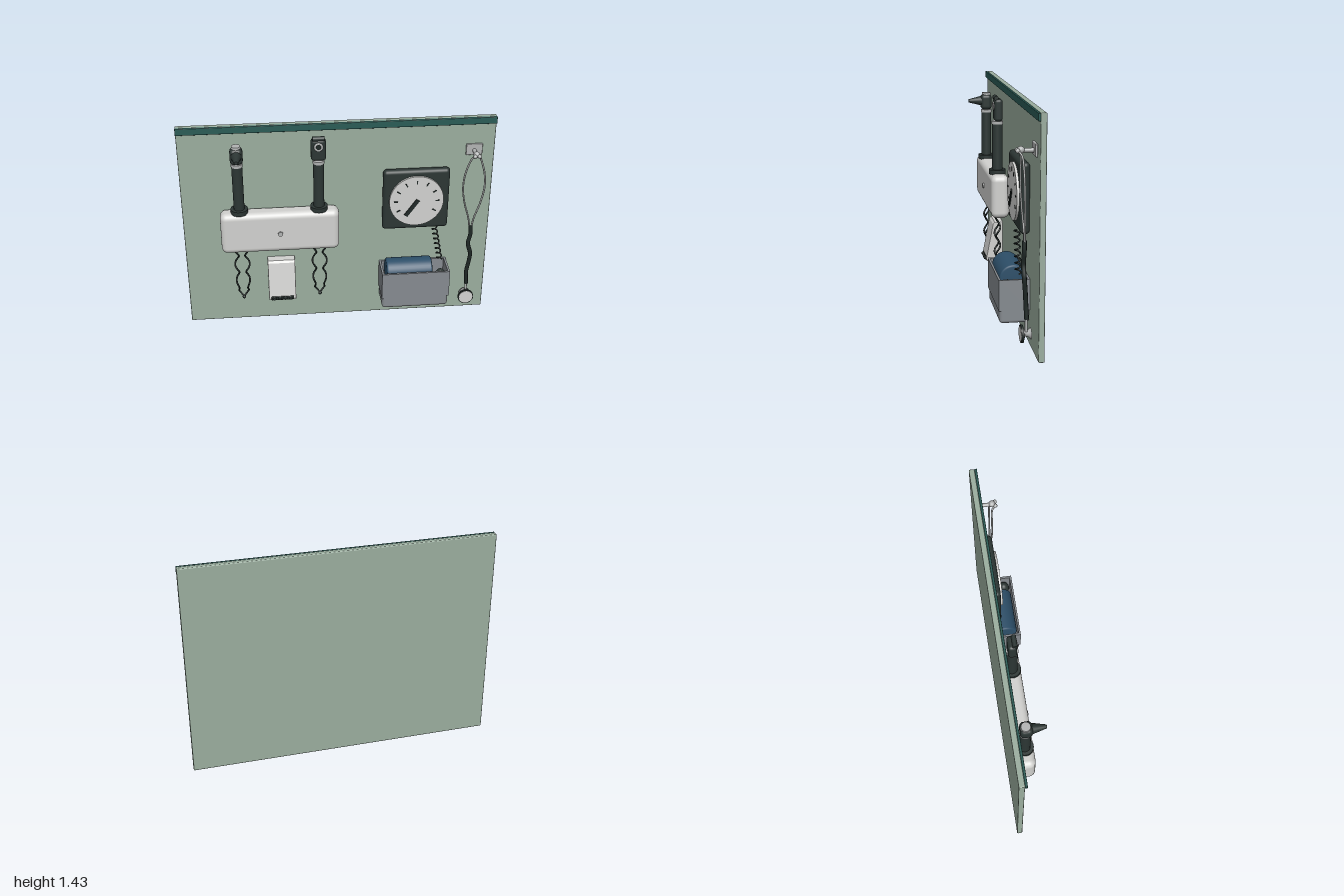
import * as THREE from 'three';
import { RoundedBoxGeometry } from 'three/addons/geometries/RoundedBoxGeometry.js';

const paint = (name, color) => {
  const m = new THREE.MeshStandardMaterial({ color });
  m.name = name;
  return m;
};

export function createModel() {
  const sage = paint('sage board', 0x9bae9f);
  const teal = paint('teal rail', 0x2a5c56);
  const black = paint('charcoal plastic', 0x2c3634);
  const cord = paint('black rubber', 0x1f2826);
  const white = paint('off white', 0xd2d2d0);
  const silver = paint('silver metal', 0xb2b4b4);
  const gray = paint('gray basket', 0x868b90);
  const blue = paint('blue cuff', 0x2d4f69);

  const model = new THREE.Group();
  model.name = 'wallDiagnosticBoard';

  const add = (name, geo, mat, x = 0, y = 0, z = 0, parent = model) => {
    const mesh = new THREE.Mesh(geo, mat);
    mesh.name = name;
    mesh.position.set(x, y, z);
    parent.add(mesh);
    return mesh;
  };
  const group = (name, x = 0, y = 0, z = 0) => {
    const g = new THREE.Group();
    g.name = name;
    g.position.set(x, y, z);
    model.add(g);
    return g;
  };
  // box from its minimum and maximum corners, rounded by r
  const block = (name, mat, [x0, y0, z0], [x1, y1, z1], r = 0.004, parent = model) =>
    add(name, new RoundedBoxGeometry(x1 - x0, y1 - y0, z1 - z0, 4, r), mat,
      (x0 + x1) / 2, (y0 + y1) / 2, (z0 + z1) / 2, parent);
  const cyl = (r0, r1, h, axis = 'y', n = 32) => {
    const g = new THREE.CylinderGeometry(r0, r1, h, n);
    if (axis === 'z') g.rotateX(Math.PI / 2);
    if (axis === 'x') g.rotateZ(Math.PI / 2);
    return g;
  };
  const tube = (name, pts, r, mat, seg = 60, parent = model) => add(name,
    new THREE.TubeGeometry(new THREE.CatmullRomCurve3(pts.map(p => new THREE.Vector3(...p))), seg, r, 8),
    mat, 0, 0, 0, parent);

  // Backboard and top rail
  block('backboard', sage, [-1, 0, -0.11], [1, 1.43, -0.075], 0.006);
  block('topRail', teal, [-1, 1.385, -0.075], [1, 1.43, -0.06], 0.003);

  // Wall transformer that holds the two handles
  block('handleHolder', white, [-0.76, 0.58, -0.075], [0, 0.865, 0.042], 0.04);
  add('holderButton', cyl(0.016, 0.016, 0.012, 'z'), silver, -0.38, 0.72, 0.045);

  // Instrument handles with their hanging coiled cords
  const handle = (name, x) => {
    const g = group(name, x, 0, -0.013);
    add('collar', cyl(0.055, 0.055, 0.03), black, 0, 0.873, 0, g);
    add('grip', cyl(0.034, 0.034, 0.31), black, 0, 1.035, 0, g);
    add('neckRing', cyl(0.037, 0.037, 0.02), silver, 0, 1.197, 0, g);
    for (const s of [-1, 1]) {
      const pts = [];
      for (let i = 0; i <= 40; i++) {
        const t = i / 40, a = t * Math.PI * 6;
        const spread = t < 0.9 ? 0.034 : 0.34 * (1 - t);
        pts.push([s * (spread + 0.014 * Math.cos(a) * (1 - t * t * t)), 0.6 - 0.38 * t, 0.014 * Math.sin(a)]);
      }
      tube('hangingCord', pts, 0.006, cord, 100, g);
    }
    add('cordEnd', new THREE.SphereGeometry(0.012, 16, 12), cord, 0, 0.215, 0, g);
    return g;
  };

  // Ear instrument: rounded head, forward cone, pale cap
  const ear = handle('earScope', -0.635);
  block('head', black, [-0.04, 1.207, -0.035], [0.04, 1.312, 0.04], 0.025, ear);
  add('earCone', cyl(0.011, 0.034, 0.09, 'z'), black, 0, 1.267, 0.078, ear);
  add('headCap', cyl(0.028, 0.03, 0.018), silver, 0, 1.315, 0, ear);

  // Eye instrument: tall head, lens ring, wheel on top
  const eye = handle('eyeScope', -0.128);
  block('head', black, [-0.047, 1.207, -0.03], [0.047, 1.352, 0.024], 0.02, eye);
  add('lensRing', new THREE.TorusGeometry(0.022, 0.007, 10, 32), silver, 0, 1.305, 0.024, eye);
  add('lens', cyl(0.017, 0.017, 0.006, 'z'), cord, 0, 1.305, 0.024, eye);
  add('topWheel', cyl(0.015, 0.015, 0.075, 'x'), black, 0, 1.357, 0.012, eye);

  // Tip dispenser, deeper at the bottom
  const wedge = new THREE.Shape([[-0.075, 0.21], [0.03, 0.21], [0.034, 0.225], [-0.012, 0.465], [-0.022, 0.477], [-0.075, 0.477]]
    .map(([z, y]) => new THREE.Vector2(-z, y)));
  const wedgeGeo = new THREE.ExtrudeGeometry(wedge, { depth: 0.168, bevelSize: 0.004, bevelThickness: 0.006, bevelSegments: 2 });
  wedgeGeo.rotateY(Math.PI / 2);
  add('tipDispenser', wedgeGeo, white, -0.464, 0, 0);
  block('dispenserSlot', cord, [-0.455, 0.208, 0.0], [-0.305, 0.235, 0.041], 0.003);
  for (let i = 0; i < 4; i++)
    add('dispenserTip', cyl(0.008, 0.014, 0.014, 'z', 16), black, -0.434 + i * 0.036, 0.222, 0.044);

  // Pressure gauge
  const gauge = group('pressureGauge', 0.5, 0.888, 0);
  block('gaugeCase', black, [-0.215, -0.213, -0.075], [0.215, 0.213, -0.018], 0.025, gauge);
  add('dial', cyl(0.176, 0.176, 0.018, 'z', 64), white, 0, 0, -0.012, gauge);
  for (let i = 0; i < 9; i++) {
    const a = (-30 + i * 30) * Math.PI / 180;
    const tick = add('tick', new THREE.BoxGeometry(0.026, 0.008, 0.004), cord,
      0.135 * Math.cos(a), 0.135 * Math.sin(a), -0.002, gauge);
    tick.rotation.z = a;
  }
  const needle = add('needle', new THREE.BoxGeometry(0.135, 0.026, 0.006), cord, -0.03, -0.046, 0.001, gauge);
  needle.rotation.z = 0.96;

  // Coiled air line from gauge to basket
  const coil = [];
  for (let i = 0; i <= 96; i++) {
    const t = i / 96, a = t * Math.PI * 14;
    coil.push([0.625 + 0.05 * t + 0.016 * Math.cos(a), 0.69 - 0.26 * t, -0.012 + 0.016 * Math.sin(a)]);
  }
  tube('coiledAirLine', coil, 0.005, cord, 220);

  // Open basket: wall sleeve over a rounded tray
  const rect = (C, x, z0, z1) => new C([[-x, z0], [x, z0], [x, z1], [-x, z1]].map(p => new THREE.Vector2(...p)));
  const sleeve = rect(THREE.Shape, 0.225, -0.11, 0.075);
  sleeve.holes.push(rect(THREE.Path, 0.211, -0.097, 0.062));
  const sleeveGeo = new THREE.ExtrudeGeometry(sleeve, { depth: 0.19, bevelEnabled: false });
  sleeveGeo.rotateX(-Math.PI / 2);
  add('basketWalls', sleeveGeo, gray, 0.5, 0.22, 0);
  block('basketTray', gray, [0.279, 0.138, -0.075], [0.721, 0.25, 0.104], 0.022);

  // Rolled cuff and squeeze bulb in the basket
  const roll = [[0, -0.152], [0.072, -0.152], [0.08, -0.148], [0.084, -0.14], [0.084, 0.14], [0.08, 0.148], [0.072, 0.152], [0, 0.152]]
    .map(p => new THREE.Vector2(...p));
  add('rolledCuff', new THREE.LatheGeometry(roll, 40), blue, 0.462, 0.379, 0.005).rotation.z = Math.PI / 2;
  add('squeezeBulb', new THREE.SphereGeometry(0.038, 24, 16), black, 0.672, 0.34, 0.05).scale.y = 1.5;

  // Hook for the stethoscope
  const hx = 0.867;
  block('hookPlate', silver, [hx - 0.053, 1.173, -0.075], [hx + 0.053, 1.25, -0.062], 0.005);
  add('hookPeg', cyl(0.011, 0.013, 0.07, 'z'), silver, hx, 1.205, -0.028);
  add('hookKnob', new THREE.SphereGeometry(0.021, 20, 14), silver, hx, 1.208, 0.01);

  // Stethoscope: ear tubes, rubber tube, chest piece
  for (const s of [-1, 1]) {
    tube('earTube', [[hx + s * 0.014, 1.205, 0.028], [hx + s * 0.028, 1.18, 0.008], [hx + s * 0.06, 1.08, 0],
      [hx + s * 0.07, 0.98, -0.002], [hx + s * 0.055, 0.87, -0.006], [hx + s * 0.018, 0.74, -0.012], [hx + s * 0.006, 0.67, -0.014]],
      0.006, silver);
    add('earTip', new THREE.SphereGeometry(0.013, 16, 12), silver, hx + s * 0.014, 1.205, 0.03);
  }
  tube('rubberTube', [[hx, 0.69, -0.013], [hx + 0.004, 0.62, -0.012], [hx - 0.008, 0.55, -0.01], [hx + 0.012, 0.47, -0.012],
    [hx + 0.008, 0.4, -0.018], [hx - 0.002, 0.32, -0.024], [hx + 0.004, 0.22, -0.028]], 0.014, cord);
  add('chestStem', cyl(0.008, 0.008, 0.1), silver, hx + 0.003, 0.185, -0.026);
  add('chestRim', cyl(0.053, 0.053, 0.014, 'z', 40), cord, hx, 0.131, 0);
  add('chestDiaphragm', cyl(0.047, 0.047, 0.004, 'z', 40), white, hx, 0.131, 0.007);
  const bell = [[0, 0], [0.045, 0], [0.018, 0.014], [0.016, 0.026], [0.036, 0.048], [0, 0.048]].map(p => new THREE.Vector2(...p));
  add('chestBell', new THREE.LatheGeometry(bell, 32), new THREE.MeshStandardMaterial().copy(silver), hx, 0.131, -0.006)
    .rotation.x = -Math.PI / 2;
  const bellMesh = model.getObjectByName('chestBell');
  bellMesh.material = silver;
  silver.side = THREE.DoubleSide;

  return model;
}
